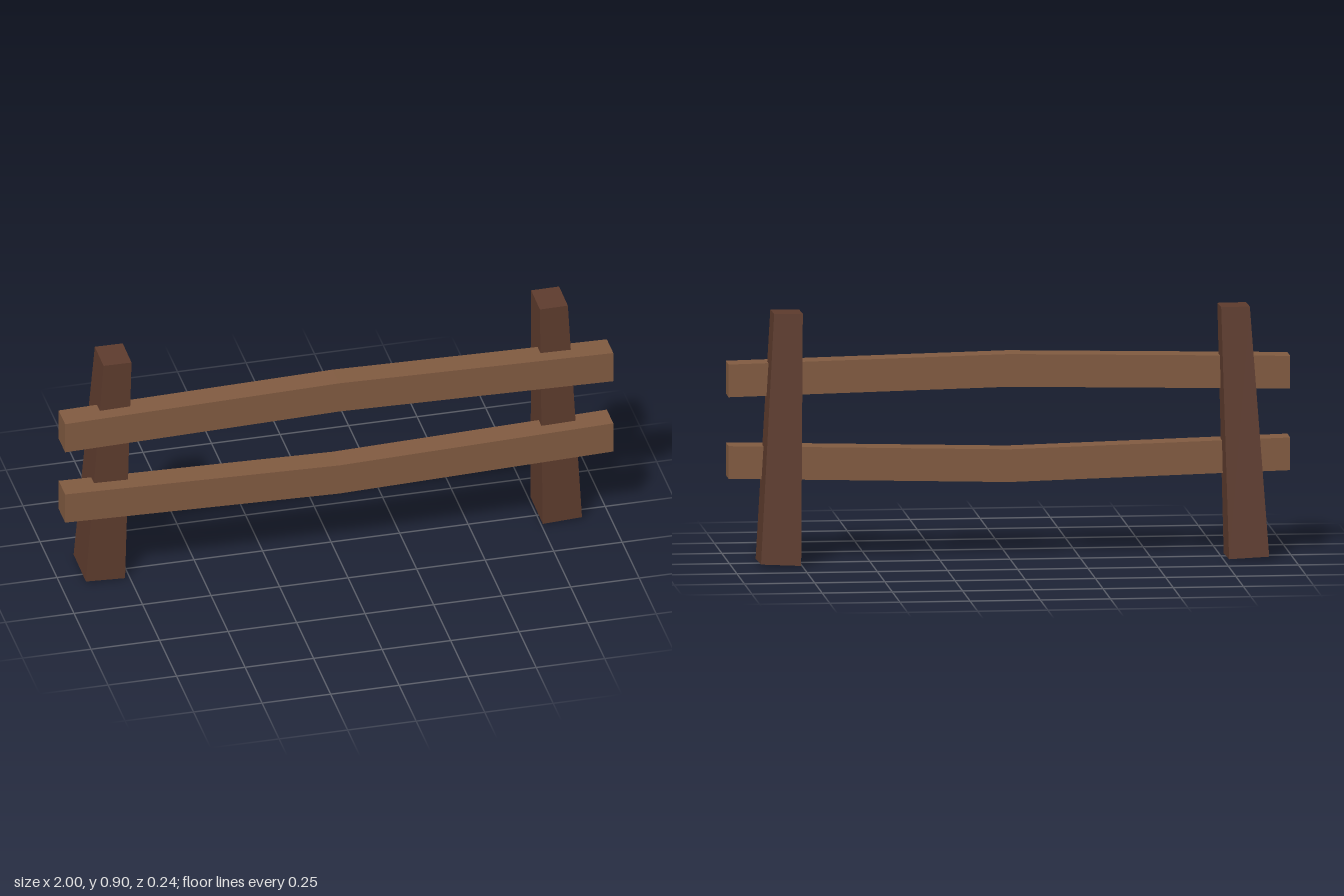
import * as THREE from 'three';

const railWood = new THREE.MeshStandardMaterial({ color: 0x805a40 });
railWood.name = 'railWood';
const postWood = new THREE.MeshStandardMaterial({ color: 0x5d3b2d });
postWood.name = 'postWood';

// Moves each vertex of a geometry by a rule, then gives every face its own flat normal
function reshape(geometry, rule) {
  const pos = geometry.attributes.position;
  const v = new THREE.Vector3();
  for (let i = 0; i < pos.count; i++) {
    rule(v.fromBufferAttribute(pos, i));
    pos.setXYZ(i, v.x, v.y, v.z);
  }
  const flat = geometry.toNonIndexed();
  flat.computeVertexNormals();
  return flat;
}

// Tapered post leaning inwards, with slightly skewed end cuts
function makePost(side, name) {
  const outerFoot = side > 0 ? 0.9 : 0.91;
  const geometry = reshape(new THREE.BoxGeometry(1, 1, 1), (v) => {
    const top = v.y > 0;
    const front = v.z > 0;
    const outer = v.x * side > 0;
    if (top) v.y = 0.896 + (front ? 0 : 0.003) + (outer ? 0.001 : 0);
    else v.y = (front ? 0 : 0.005) + (outer ? 0.007 : 0);
    v.x = side * (top ? (outer ? 0.847 : 0.745) : (outer ? outerFoot : outerFoot - 0.143));
    v.z = front ? (top ? 0.068 : 0.062) : (top ? -0.061 : -0.119);
  });
  const post = new THREE.Mesh(geometry, postWood);
  post.name = name;
  return post;
}

// Square rail bent at its middle
function makeRail(endY, midY, name) {
  const geometry = reshape(new THREE.BoxGeometry(2, 0.117, 0.096, 2, 1, 1), (v) => {
    v.y += THREE.MathUtils.lerp(midY, endY, Math.abs(v.x));
    v.z += 0.072;
  });
  const rail = new THREE.Mesh(geometry, railWood);
  rail.name = name;
  return rail;
}

export function createModel() {
  const fence = new THREE.Group();
  fence.name = 'fence';
  fence.add(
    makePost(1, 'leftPost'),
    makePost(-1, 'rightPost'),
    makeRail(0.65, 0.672, 'upperRail'),
    makeRail(0.358, 0.331, 'lowerRail'),
  );
  return fence;
}
